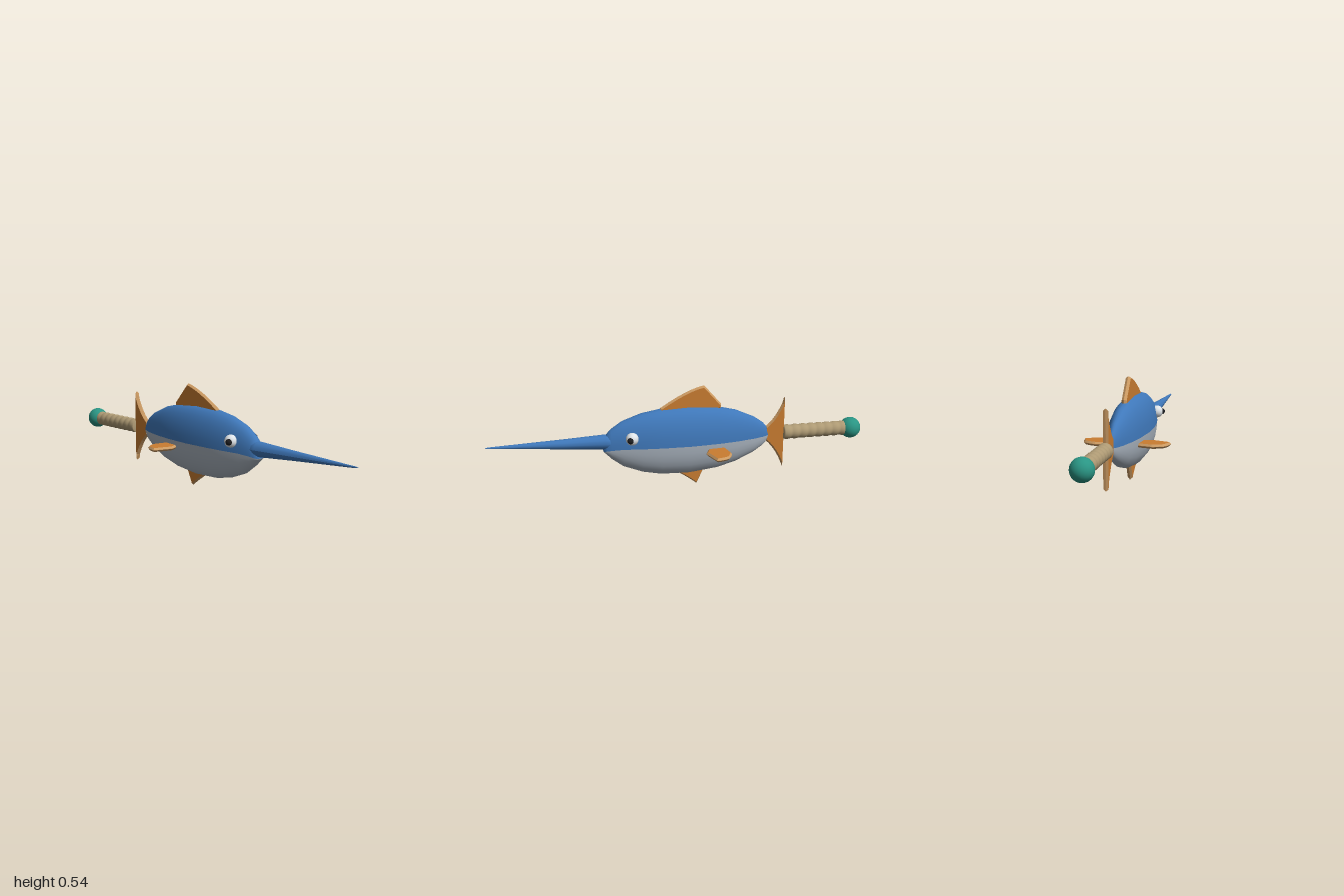
import * as THREE from 'three';

const mat = (name, color, extra = {}) => {
  const m = new THREE.MeshStandardMaterial({ color, ...extra });
  m.name = name;
  return m;
};

export function createModel() {
  const group = new THREE.Group();
  const blue = mat('back blue', 0x3f78ba);
  const grey = mat('belly grey', 0xa9b3be);
  const orange = mat('fin orange', 0xca7d31);
  const tan = mat('fin rim tan', 0xcb9a62);
  const grip = mat('grip tan', 0xae9a74);
  const teal = mat('pommel teal', 0x2a9584);
  const white = mat('eye white', 0xdfe4e8);
  const black = mat('pupil black', 0x1c1d20);

  const add = (name, geometry, material, x = 0, y = 0, z = 0) => {
    const mesh = new THREE.Mesh(geometry, material);
    mesh.name = name;
    mesh.position.set(x, y, z);
    group.add(mesh);
    return mesh;
  };

  // Body cross-sections: x, top, seam, bottom, half width
  const sections = [
    [-0.485, 0.25, 0.25, 0.25, 0], [-0.48, 0.288, 0.25, 0.225, 0.012],
    [-0.45, 0.322, 0.249, 0.193, 0.026], [-0.4, 0.358, 0.248, 0.16, 0.042],
    [-0.3, 0.403, 0.248, 0.115, 0.066], [-0.2, 0.427, 0.248, 0.088, 0.081],
    [-0.05, 0.438, 0.248, 0.071, 0.092], [0.1, 0.432, 0.248, 0.075, 0.088],
    [0.2, 0.415, 0.247, 0.095, 0.077], [0.3, 0.38, 0.245, 0.134, 0.059],
    [0.36, 0.34, 0.238, 0.18, 0.044], [0.385, 0.312, 0.233, 0.207, 0.036],
    [0.4, 0.27, 0.228, 0.222, 0.024], [0.401, 0.228, 0.228, 0.228, 0],
  ];
  const halfBody = (start) => {
    const n = 14, pos = [], idx = [];
    sections.forEach(([x, top, seam, bottom, w], i) => {
      for (let j = 0; j <= n; j++) {
        const a = start + (j / n) * Math.PI;
        const h = start === 0 ? top - seam : seam - bottom;
        pos.push(x, seam + h * Math.sin(a), w * Math.cos(a));
        if (i < sections.length - 1 && j < n) {
          const p = i * (n + 1) + j, q = p + n + 1;
          idx.push(p, q, p + 1, q, q + 1, p + 1);
        }
      }
    });
    const g = new THREE.BufferGeometry();
    g.setAttribute('position', new THREE.Float32BufferAttribute(pos, 3));
    g.setIndex(idx);
    g.computeVertexNormals();
    return g;
  };
  add('back', halfBody(0), blue);
  add('belly', halfBody(Math.PI), grey);

  // Lathe laid along x
  const latheX = (points, sides) =>
    new THREE.LatheGeometry(points.map(([x, r]) => new THREE.Vector2(r, x)), sides).rotateZ(-Math.PI / 2);

  // Bill, rising slightly to the tip
  const bill = latheX([[0.34, 0], [0.345, 0.025], [0.36, 0.04], [0.39, 0.04], [0.6, 0.026], [0.98, 0.004], [1, 0]], 12);
  const bp = bill.attributes.position;
  for (let i = 0; i < bp.count; i++) bp.setY(i, bp.getY(i) + 0.272 + (bp.getX(i) - 0.36) * 0.02);
  bill.computeVertexNormals();
  add('bill', bill, blue);

  // Rippled grip and round pommel
  const ripples = [[-0.92, 0]];
  for (let i = 0; i <= 48; i++)
    ripples.push([-0.92 + (i / 48) * 0.357, 0.0355 + 0.004 * Math.abs(Math.sin((i / 48) * Math.PI * 8))]);
  ripples.push([-0.563, 0]);
  add('grip', latheX(ripples, 20), grip, 0, 0.258, 0);
  add('pommel', new THREE.SphereGeometry(0.056, 24, 16), teal, -0.944, 0.257, 0);

  // Fins: plates whose rim comes to a ridge
  const fin = (shape, half) => {
    const g = new THREE.ExtrudeGeometry(shape, {
      depth: 0.002, bevelEnabled: true, bevelThickness: half - 0.001,
      bevelSize: 0.008, bevelOffset: -0.008, bevelSegments: 1, curveSegments: 6,
    });
    return g.translate(0, 0, -0.001);
  };
  const finMats = [orange, tan];

  const dorsal = new THREE.Shape();
  dorsal.moveTo(-0.222, 0.415);
  dorsal.lineTo(0.11, 0.415);
  dorsal.lineTo(0.1, 0.438);
  dorsal.quadraticCurveTo(-0.04, 0.53, -0.13, 0.546);
  dorsal.lineTo(-0.222, 0.44);
  add('dorsalFin', fin(dorsal, 0.013), finMats);

  const anal = new THREE.Shape();
  anal.moveTo(-0.135, 0.095);
  anal.lineTo(-0.093, 0.002);
  anal.quadraticCurveTo(-0.04, 0.045, 0.01, 0.075);
  anal.lineTo(0.01, 0.095);
  add('analFin', fin(anal, 0.013), finMats);

  const tail = new THREE.Shape();
  tail.moveTo(-0.567, 0.062);
  tail.quadraticCurveTo(-0.53, 0.165, -0.465, 0.222);
  tail.lineTo(-0.465, 0.296);
  tail.quadraticCurveTo(-0.53, 0.345, -0.567, 0.455);
  add('tailFin', fin(tail, 0.013), finMats);

  const pectoral = new THREE.Shape();
  pectoral.moveTo(-0.225, 0.06);
  pectoral.lineTo(-0.145, 0.06);
  pectoral.lineTo(-0.117, 0.125);
  pectoral.lineTo(-0.15, 0.226);
  pectoral.quadraticCurveTo(-0.195, 0.222, -0.218, 0.206);
  pectoral.quadraticCurveTo(-0.24, 0.18, -0.246, 0.145);
  pectoral.lineTo(-0.232, 0.08);

  // Paired side fins and eyes
  for (const s of [1, -1]) {
    const side = s > 0 ? 'right' : 'left';
    add(side + 'PectoralFin', fin(pectoral, 0.0105), finMats, 0, 0.214, 0).rotation.x = s * Math.PI / 2;
    add(side + 'Eye', new THREE.SphereGeometry(0.033, 18, 12), white, 0.258, 0.303, s * 0.066);
    add(side + 'Pupil', new THREE.SphereGeometry(0.0165, 14, 10), black, 0.27, 0.303, s * 0.091);
  }
  return group;
}
